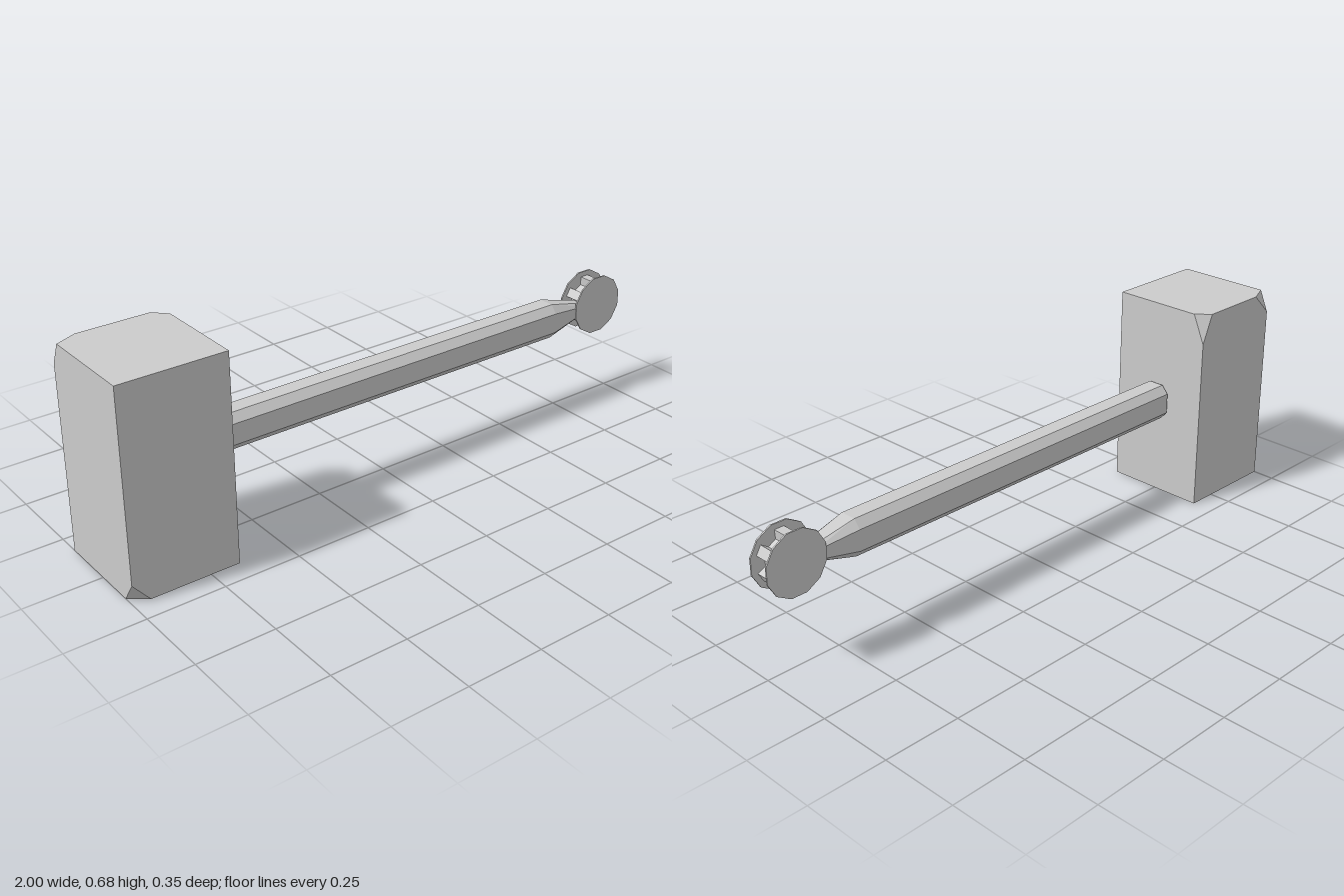
import * as THREE from 'three';
import { ConvexGeometry } from 'three/addons/geometries/ConvexGeometry.js';

const material = new THREE.MeshStandardMaterial({ color: 0xcccccc, flatShading: true });

function addPart(group, name, geometry) {
  const mesh = new THREE.Mesh(geometry, material);
  mesh.name = name;
  group.add(mesh);
  return mesh;
}

// Block with some corners cut off; each chip gives the cut length along x, y and z
function chippedBlock(min, max, chips) {
  const points = [];
  for (const i of [0, 1]) for (const j of [0, 1]) for (const k of [0, 1]) {
    const side = [i, j, k];
    const corner = side.map((s, a) => (s ? max[a] : min[a]));
    const cut = chips[side.join('')];
    if (!cut) {
      points.push(new THREE.Vector3(...corner));
      continue;
    }
    for (let a = 0; a < 3; a++) {
      const p = [...corner];
      p[a] += side[a] ? -cut[a] : cut[a];
      points.push(new THREE.Vector3(...p));
    }
  }
  return new ConvexGeometry(points);
}

// Eight-sided bar running along x, one ring per station [x, height scale, depth scale]
function octagonBar(centreY, stations) {
  const quarter = [[0.034, 0.05], [0.06, 0.027]];
  const points = [];
  for (const [x, sy, sz] of stations)
    for (const [y, z] of quarter)
      for (const my of [-1, 1]) for (const mz of [-1, 1])
        points.push(new THREE.Vector3(x, centreY + my * y * sy, mz * z * sz));
  return new ConvexGeometry(points);
}

// Six-toothed gear outline
function gearShape(teeth, tipRadius, tipHalf, rootRadius, rootHalf) {
  const points = [];
  for (let i = 0; i < teeth; i++) {
    const mid = Math.PI / teeth + (i * 2 * Math.PI) / teeth;
    for (const [r, offset] of [[rootRadius, -rootHalf], [tipRadius, -tipHalf], [tipRadius, tipHalf], [rootRadius, rootHalf]])
      points.push(new THREE.Vector2(r * Math.cos(mid + offset), r * Math.sin(mid + offset)));
  }
  return new THREE.Shape(points);
}

export function createModel() {
  const model = new THREE.Group();
  model.name = 'hammer';

  // Head with three chipped corners
  addPart(model, 'head', chippedBlock([-1, 0, -0.175], [-0.655, 0.675, 0.175], {
    '001': [0.055, 0.065, 0.044],
    '010': [0.07, 0.07, 0.031],
    '110': [0.04, 0.095, 0.042],
  }));

  // Handle, tapering towards the pommel
  addPart(model, 'handle', octagonBar(0.339, [[-0.64, 1, 1], [0.69, 1, 1], [0.84, 0.37, 0.56]]));

  // Pommel: toothed core between two thin twelve-sided plates
  const pommel = new THREE.Group();
  pommel.name = 'pommel';
  pommel.position.set(0.9, 0.347, -0.0015);
  model.add(pommel);

  const core = new THREE.ExtrudeGeometry(gearShape(6, 0.0845, 0.19, 0.056, Math.PI / 12), { depth: 0.066, bevelEnabled: false });
  core.translate(0, 0, -0.033);
  addPart(pommel, 'pommelCore', core);

  const plateRadius = 0.1 / Math.cos(Math.PI / 12);
  for (const side of [-1, 1]) {
    const plate = new THREE.CylinderGeometry(plateRadius, plateRadius, 0.005, 12);
    plate.rotateY(Math.PI / 12).rotateX(Math.PI / 2);
    addPart(pommel, side > 0 ? 'frontPlate' : 'backPlate', plate).position.z = side * 0.035;
  }
  return model;
}
